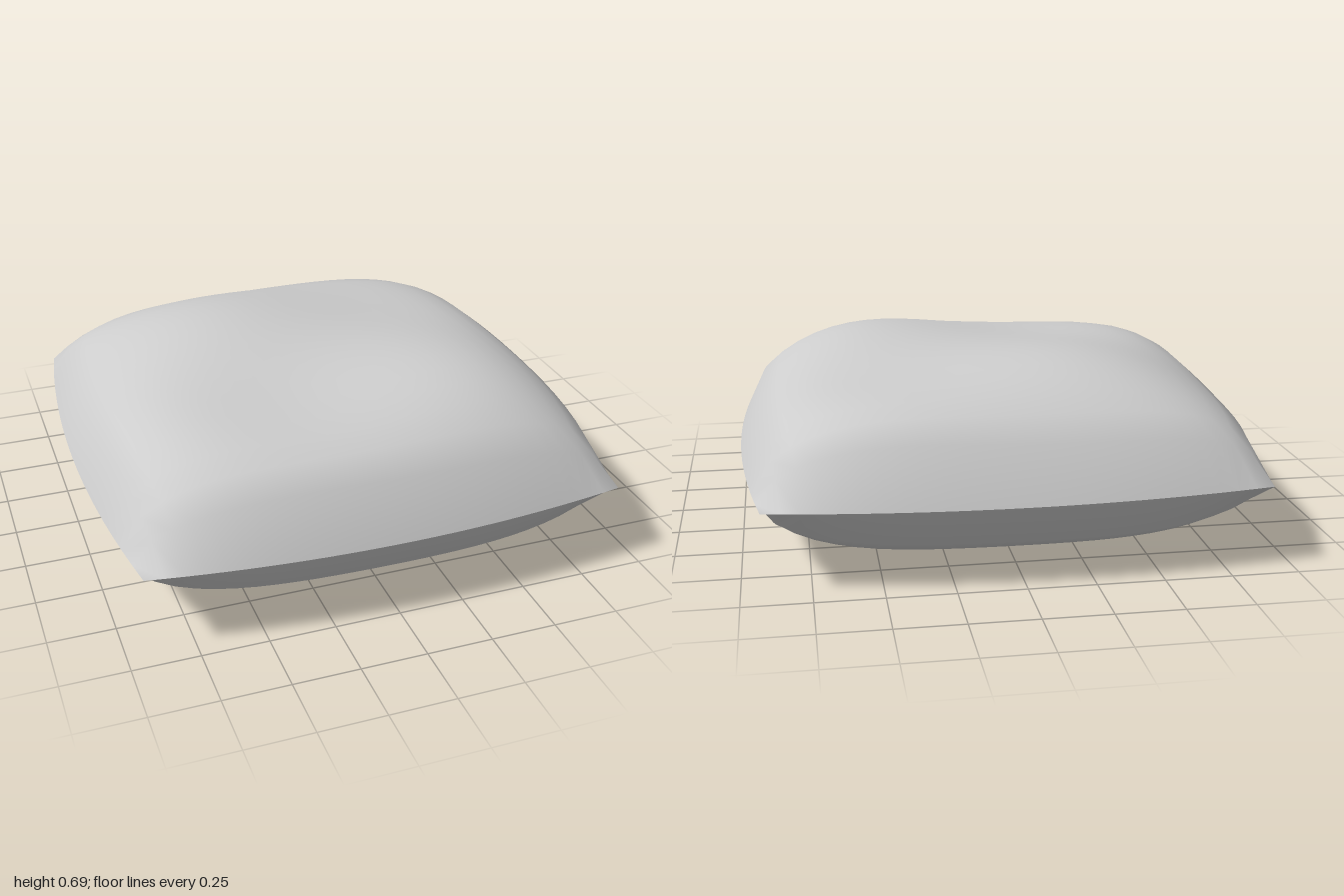
import * as THREE from 'three';

const SEAM_Y = 0.305;
const X_STEPS = 26, Z_STEPS = 18;

// Puffed profile across the cushion: zero at the seam, nearly flat in the middle
const puff = (t) => Math.pow(Math.max(0, 1 - t ** 4), 0.6);

// Bends a flat square into one half of the cushion (side = 1 top, -1 bottom)
function shapeHalf(geometry, side, height, dent) {
  const p = geometry.attributes.position;
  for (let i = 0; i < p.count; i++) {
    const u = p.getX(i), v = p.getZ(i);
    const wave = dent * Math.sin(4 * (u - 0.12)) * Math.sin(4 * (v - 0.04));
    const y = SEAM_Y + side * puff(u) * puff(v) * (height + wave);
    // Edges bow outwards between the pinched corners
    p.setXYZ(i, u * (1 - 0.08 * v * v), y, v * (1 - 0.08 * u * u));
  }
  geometry.computeVertexNormals();
  return geometry;
}

export function createModel() {
  const group = new THREE.Group();
  group.name = 'cushion';
  const fabric = new THREE.MeshStandardMaterial({ color: 0xcccccc });
  fabric.name = 'grey fabric';

  // Upper half, with two soft bumps on one diagonal and dents on the other
  const topSheet = new THREE.PlaneGeometry(2, 2, Z_STEPS, X_STEPS)
    .rotateX(-Math.PI / 2).rotateY(Math.PI / 2);
  const top = new THREE.Mesh(shapeHalf(topSheet, 1, 0.357, 0.032), fabric);
  top.name = 'topCover';

  // Lower half, slightly flatter
  const bottomSheet = new THREE.PlaneGeometry(2, 2, X_STEPS, Z_STEPS).rotateX(Math.PI / 2);
  const bottom = new THREE.Mesh(shapeHalf(bottomSheet, -1, 0.299, -0.008), fabric);
  bottom.name = 'bottomCover';

  group.add(top, bottom);
  return group;
}
